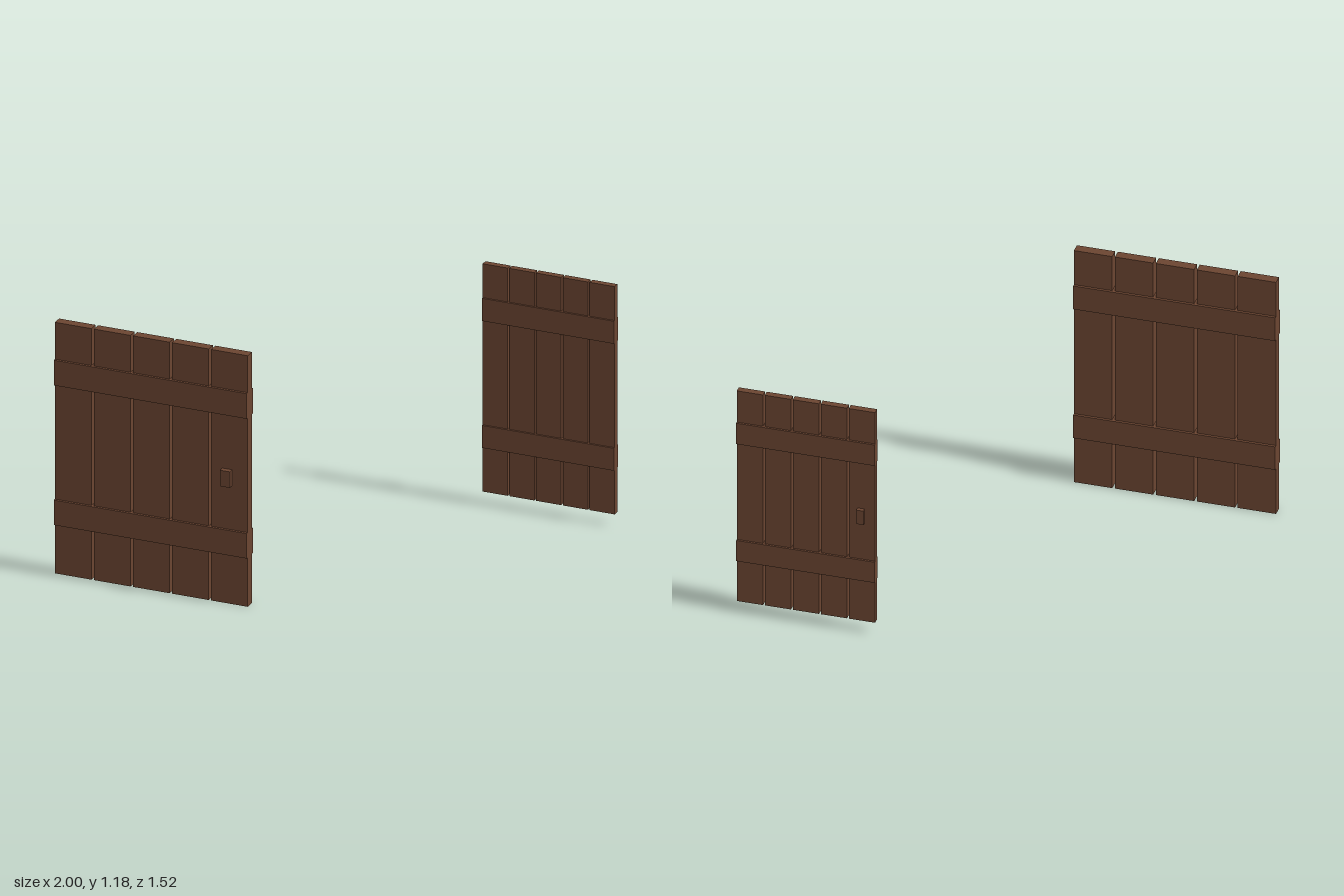
import * as THREE from 'three';

const wood = new THREE.MeshStandardMaterial({ color: 0x6b4531, flatShading: true });

// Box given by its extents along each axis
function box(name, [x0, x1], [y0, y1], [z0, z1]) {
  const mesh = new THREE.Mesh(new THREE.BoxGeometry(x1 - x0, y1 - y0, z1 - z0), wood);
  mesh.name = name;
  mesh.position.set((x0 + x1) / 2, (y0 + y1) / 2, (z0 + z1) / 2);
  return mesh;
}

// Plank door: spaced upright boards, two cross battens, one block handle
function door(name, { x, y, z, gap, battens, battenZ, handle }) {
  const group = new THREE.Group();
  group.name = name;
  const count = 5;
  const width = (x[1] - x[0] - gap * (count - 1)) / count;
  for (let i = 0; i < count; i++) {
    const left = x[0] + i * (width + gap);
    group.add(box(`plank${i + 1}`, [left, left + width], y, z));
  }
  group.add(box('lowerBatten', x, battens[0], battenZ));
  group.add(box('upperBatten', x, battens[1], battenZ));
  group.add(box('handle', ...handle));
  return group;
}

export function createModel() {
  const model = new THREE.Group();
  model.name = 'plankDoors';

  // Large door, handle on the front
  model.add(door('largeDoor', {
    x: [-1, -0.091], y: [0, 1.177], z: [0.69, 0.735], gap: 0.012,
    battens: [[0.231, 0.348], [0.886, 1.004]], battenZ: [0.678, 0.747],
    handle: [[-0.211, -0.164], [0.555, 0.63], [0.73, 0.761]],
  }));

  // Small door, handle on the back
  model.add(door('smallDoor', {
    x: [0.378, 1], y: [0.057, 1.125], z: [-0.739, -0.709], gap: 0.008,
    battens: [[0.265, 0.37], [0.86, 0.966]], battenZ: [-0.748, -0.701],
    handle: [[0.425, 0.457], [0.557, 0.627], [-0.758, -0.734]],
  }));

  return model;
}
